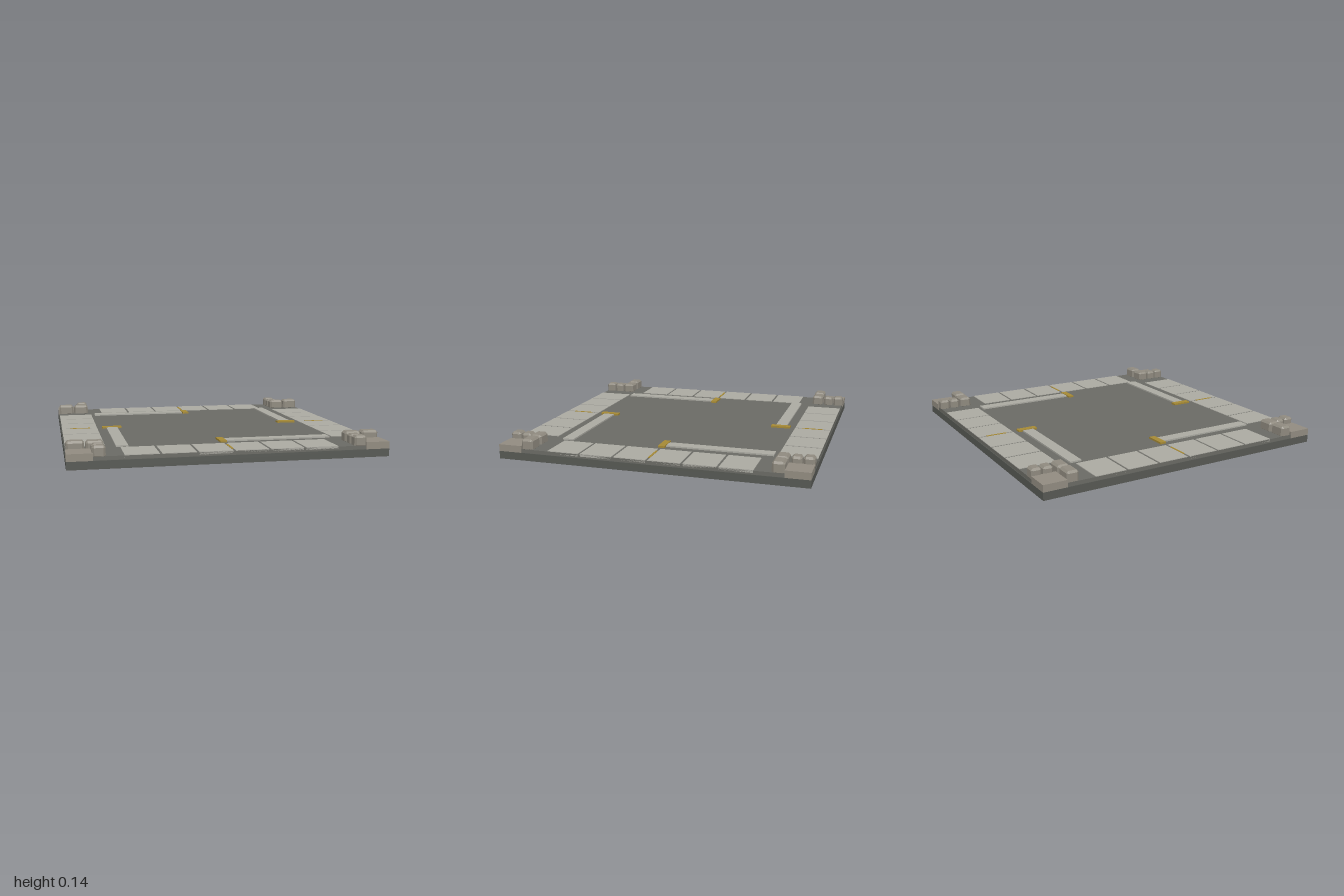
import * as THREE from 'three';
import { ConvexGeometry } from 'three/addons/geometries/ConvexGeometry.js';

const mat = (color) => new THREE.MeshStandardMaterial({ color, flatShading: true });

// Box given by its limits on each axis
function box(name, material, [x0, x1], [y0, y1], [z0, z1]) {
  const mesh = new THREE.Mesh(new THREE.BoxGeometry(x1 - x0, y1 - y0, z1 - z0), material);
  mesh.position.set((x0 + x1) / 2, (y0 + y1) / 2, (z0 + z1) / 2);
  mesh.name = name;
  return mesh;
}

// Rough stone: a box with all edges chamfered
function stone(name, material, [x0, x1], [y0, y1], [z0, z1], c = 0.013) {
  const half = [(x1 - x0) / 2, (y1 - y0) / 2, (z1 - z0) / 2];
  const points = [];
  for (const sx of [-1, 1]) for (const sy of [-1, 1]) for (const sz of [-1, 1]) {
    for (let face = 0; face < 3; face++) {
      const h = half.map((v, i) => (i === face ? v : v - c));
      points.push(new THREE.Vector3(sx * h[0], sy * h[1], sz * h[2]));
    }
  }
  const mesh = new THREE.Mesh(new ConvexGeometry(points), material);
  mesh.position.set((x0 + x1) / 2, (y0 + y1) / 2, (z0 + z1) / 2);
  mesh.name = name;
  return mesh;
}

export function createModel() {
  const model = new THREE.Group();
  model.name = 'courtyardTile';
  const plinthMat = mat(0x565853);
  const floorMat = mat(0x6a6a64);
  const slabMat = mat(0xaaa9a1);
  const goldMat = mat(0xa48835);
  const padMat = mat(0x918b80);
  const stoneMat = mat(0x8f8a7f);

  // Plinth and floor
  model.add(box('plinth', plinthMat, [-1, 1], [0, 0.05], [-1, 1]));
  model.add(box('floor', floorMat, [-0.995, 0.995], [0.05, 0.074], [-0.995, 0.995]));

  // One side, turned to make all four
  for (let i = 0; i < 4; i++) {
    const side = new THREE.Group();
    side.name = 'side' + (i + 1);
    for (let k = 0; k < 6; k++) {
      const x = (k - 2.5) * 0.223;
      side.add(box('pavingSlab', slabMat, [x - 0.104, x + 0.104], [0.06, 0.078], [0.75, 0.995]));
    }
    side.add(box('goldInlay', goldMat, [-0.007, 0.007], [0.06, 0.08], [0.8, 0.94]));
    side.add(box('goldBar', goldMat, [-0.022, 0.022], [0.07, 0.086], [0.58, 0.715]));
    side.add(box('innerStrip', slabMat, [0.025, 0.725], [0.07, 0.084], [0.61, 0.687]));
    side.rotation.y = (i * Math.PI) / 2;
    model.add(side);
  }

  // Corner pads with a broken L of stones, mirrored in x and z
  const span = (s, a, b) => (s > 0 ? [a, b] : [-b, -a]);
  for (const sx of [-1, 1]) for (const sz of [-1, 1]) {
    const corner = new THREE.Group();
    corner.name = (sz > 0 ? 'front' : 'back') + (sx > 0 ? 'Left' : 'Right') + 'Corner';
    corner.add(box('cornerPad', padMat, span(sx, 0.845, 1), [0.05, 0.095], span(sz, 0.845, 1)));
    const add = (x0, x1, z0, z1, top) =>
      corner.add(stone('cornerStone', stoneMat, span(sx, x0, x1), [0.062, top], span(sz, z0, z1)));
    add(0.77, 0.877, 0.767, 0.845, 0.137);
    add(0.885, 0.995, 0.767, 0.845, 0.14);
    add(0.77, 0.85, 0.857, 0.922, 0.134);
    add(0.77, 0.85, 0.93, 0.998, 0.137);
    model.add(corner);
  }
  return model;
}
